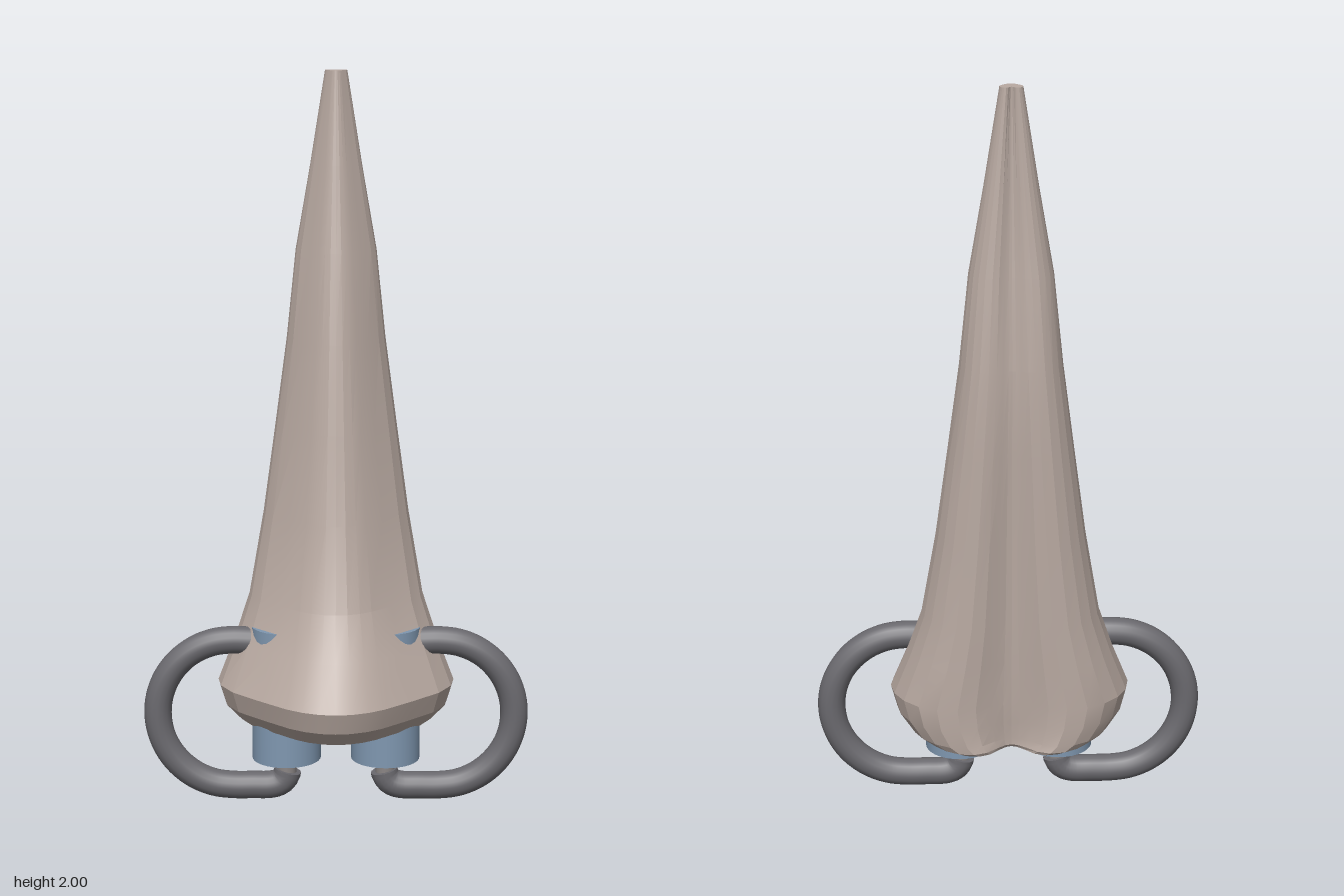
import * as THREE from 'three';
import { toCreasedNormals } from 'three/addons/utils/BufferGeometryUtils.js';

const mat = (color, extra = {}) => new THREE.MeshStandardMaterial({ color, ...extra });

function mesh(name, geometry, material) {
  const m = new THREE.Mesh(geometry, material);
  m.name = name;
  return m;
}

// Half of the heart-shaped section: [share of half width, share of depth from the front]
const HALF = [
  [0, 0], [0.13, 0.01], [0.27, 0.045], [0.4, 0.1], [0.63, 0.24], [0.86, 0.39], [0.97, 0.52],
  [1, 0.64], [0.97, 0.75], [0.89, 0.85], [0.77, 0.93], [0.62, 0.985], [0.45, 1], [0.3, 1],
  [0.17, 0.98], [0.07, 0.95], [0, 0.93],
];

// Sections: [y, half width, front z, back z, depth of the rear groove]
const SECTIONS = [
  [0.19, 0.2, 0.08, -0.24, 0.06],
  [0.2, 0.23, 0.11, -0.25, 0.06],
  [0.22, 0.27, 0.17, -0.25, 0.06],
  [0.27, 0.31, 0.23, -0.25, 0.055],
  [0.33, 0.327, 0.25, -0.25, 0.05],
  [0.45, 0.28, 0.19, -0.25, 0.045],
  [0.57, 0.24, 0.13, -0.25, 0.04],
  [0.8, 0.2, 0.075, -0.25, 0.035],
  [1.04, 0.167, 0.037, -0.25, 0.025],
  [1.28, 0.135, 0, -0.25, 0.015],
  [1.52, 0.11, -0.045, -0.225, 0.018],
  [1.75, 0.07, -0.087, -0.205, 0.015],
  [2.0, 0.03, -0.13, -0.19, 0.013],
];

function hornGeometry() {
  const outline = [...HALF, ...HALF.slice(1, -1).reverse().map(([u, v]) => [-u, v])];
  const n = outline.length;
  const pos = [];
  const index = [];
  SECTIONS.forEach(([y, w, front, back, groove]) => {
    for (const [u, v] of outline) {
      // Pull the middle of the back forward to form the groove
      const a = v > 0.9 ? Math.max(0, 1 - Math.abs(u) / 0.42) : 0;
      const base = a > 0 ? 1 : v;
      pos.push(u * w, y, front + (back - front) * base + groove * a * a * (3 - 2 * a));
    }
  });
  for (let i = 0; i < SECTIONS.length - 1; i++) {
    for (let j = 0; j < n; j++) {
      const k = (j + 1) % n;
      const a = i * n + j, b = i * n + k, c = a + n, d = b + n;
      index.push(a, b, d, a, d, c);
    }
  }
  // Flat ends
  [0, SECTIONS.length - 1].forEach((row) => {
    const [y, , front, back] = SECTIONS[row];
    const centre = pos.length / 3;
    pos.push(0, y, front * 0.5 + back * 0.5);
    for (let j = 0; j < n; j++) {
      const a = row * n + j, b = row * n + (j + 1) % n;
      if (row === 0) index.push(centre, b, a);
      else index.push(centre, a, b);
    }
  });
  const g = new THREE.BufferGeometry();
  g.setAttribute('position', new THREE.Float32BufferAttribute(pos, 3));
  g.setIndex(index);
  return toCreasedNormals(g, 0.25);
}

// Cable: out of the horn, round a half circle and back under the socket
function cablePath() {
  const v = (x, y) => new THREE.Vector3(x, y, 0);
  const points = [v(0.2, 0.455), v(0.24, 0.457)];
  for (let i = 0; i <= 12; i++) {
    const t = Math.PI / 2 - (i / 12) * Math.PI;
    points.push(v(0.285 + 0.208 * Math.cos(t), 0.248 + 0.21 * Math.sin(t)));
  }
  points.push(v(0.23, 0.038), v(0.18, 0.039), v(0.153, 0.048), v(0.138, 0.066), v(0.134, 0.082));
  return new THREE.CatmullRomCurve3(points);
}

export function createModel() {
  const model = new THREE.Group();
  model.name = 'hornWithCables';
  const steel = mat(0x7f97b0);
  const rubber = mat(0x6a696e, { side: THREE.DoubleSide });
  const neckMat = mat(0x8a8584);

  model.add(mesh('horn', hornGeometry(), mat(0xb9aaa2)));

  for (const side of [1, -1]) {
    const fitting = new THREE.Group();
    fitting.name = side > 0 ? 'leftFitting' : 'rightFitting';
    fitting.position.z = -0.02;
    // Half a turn mirrors the planar fitting across x
    fitting.rotation.y = side > 0 ? 0 : Math.PI;

    // Socket runs up inside the horn
    const socket = mesh('socket', new THREE.CylinderGeometry(0.095, 0.095, 0.38, 32), steel);
    socket.position.set(0.137, 0.31, 0);

    const neck = mesh('neck', new THREE.CylinderGeometry(0.027, 0.027, 0.07, 20), neckMat);
    neck.position.set(0.137, 0.1, 0);

    const path = cablePath();
    const cable = mesh('cable', new THREE.TubeGeometry(path, 80, 0.038, 16), rubber);

    // Closes the cable below the socket
    const cap = mesh('cableEnd', new THREE.CircleGeometry(0.038, 16), rubber);
    cap.position.copy(path.getPoint(1));
    cap.quaternion.setFromUnitVectors(new THREE.Vector3(0, 0, 1), path.getTangent(1));

    fitting.add(socket, neck, cable, cap);
    model.add(fitting);
  }
  return model;
}
